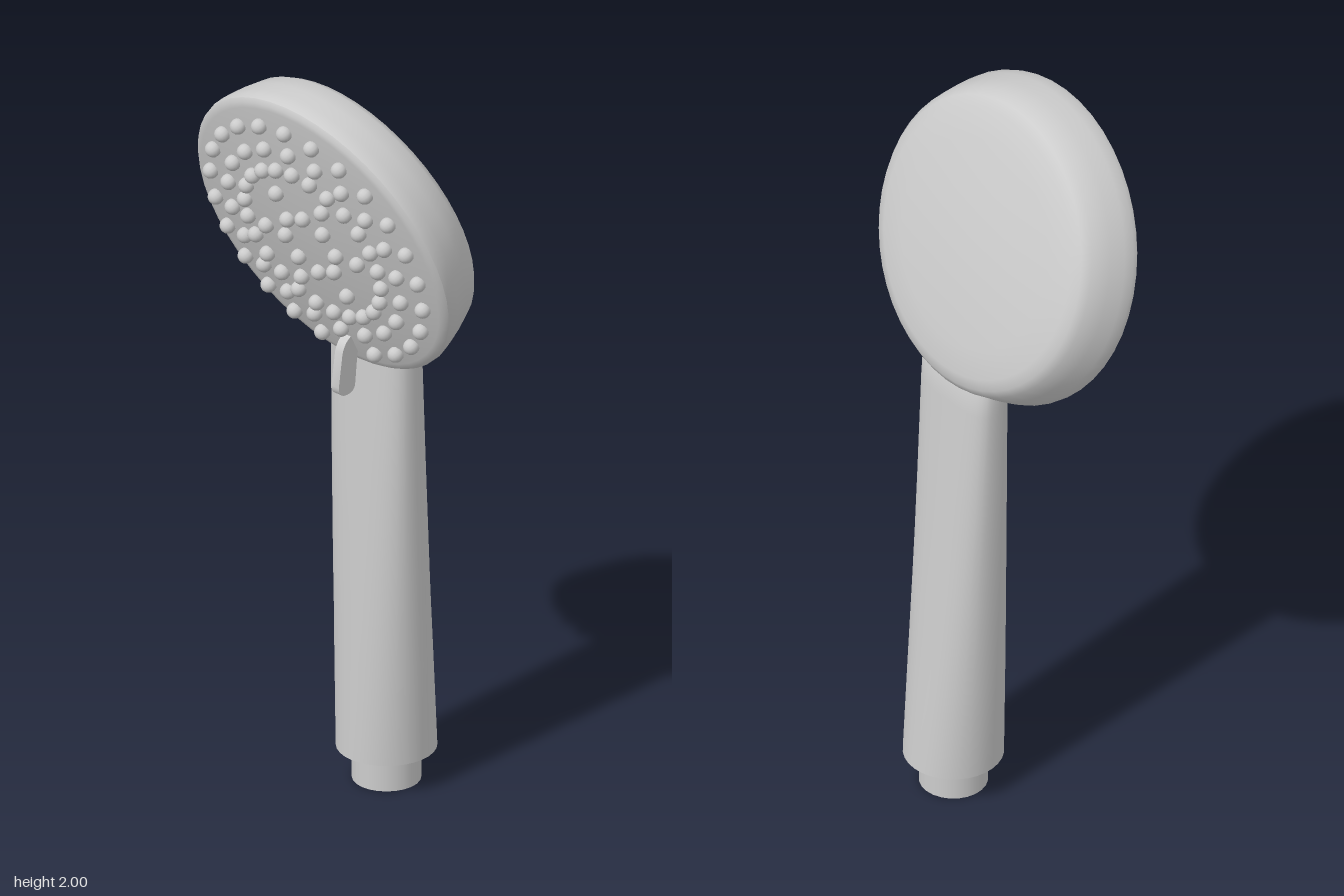
import * as THREE from 'three';
import { toCreasedNormals } from 'three/addons/utils/BufferGeometryUtils.js';

export function createModel() {
  const model = new THREE.Group();
  model.name = 'handShower';
  const grey = new THREE.MeshStandardMaterial({ color: 0xcccccc });
  grey.name = 'satin grey';

  function add(parent, name, geometry) {
    const mesh = new THREE.Mesh(geometry, grey);
    mesh.name = name;
    parent.add(mesh);
    return mesh;
  }

  // Tilted head: local +y points out of the spray face, local -z points up the face
  const head = new THREE.Group();
  head.name = 'head';
  head.position.set(0, 1.583, 0.106);
  head.rotation.x = Math.PI / 2 + 0.333;
  model.add(head);

  // Domed back, rounded side and gently bulging spray face
  const faceRadius = 0.397;
  const faceHeight = (r) => 0.001 + 0.03 * (1 - (r / faceRadius) ** 2);
  const profile = [
    [0, -0.19], [0.15, -0.185], [0.27, -0.176], [0.345, -0.167], [0.374, -0.157],
    [0.391, -0.138], [0.407, -0.09], [0.417, -0.05], [0.422, -0.025],
    [0.42, -0.011], [0.411, -0.002],
    ...[faceRadius, 0.32, 0.24, 0.16, 0.08, 0].map((r) => [r, faceHeight(r)]),
  ].map(([r, y]) => new THREE.Vector2(r, y));
  add(head, 'headShell', toCreasedNormals(new THREE.LatheGeometry(profile, 48), 0.6));

  // Concentric rings of spray nozzles; the lever takes the lowest outer place
  const nozzle = new THREE.SphereGeometry(0.021, 12, 8);
  const rings = [[0.088, 8, 0], [0.16, 6, Math.PI / 6], [0.228, 24, 0], [0.288, 20, 0], [0.355, 24, 0]];
  for (const [radius, count, start] of rings) {
    for (let i = 0; i < count; i++) {
      if (radius > 0.3 && i === 12) continue;
      const a = start + (i / count) * Math.PI * 2;
      add(head, 'nozzle', nozzle)
        .position.set(radius * Math.sin(a), faceHeight(radius) + 0.008, 0.004 - radius * Math.cos(a));
    }
  }

  // Handle: round at the foot, flattening to a boxy oval where it enters the head
  // Each station: height, half width, front z, back z, corner power (1 is an ellipse)
  const stations = [
    [0.09, 0.127, -0.001, -0.255, 1], [0.35, 0.129, -0.007, -0.23, 0.92], [0.6, 0.131, -0.013, -0.206, 0.85],
    [0.9, 0.133, -0.021, -0.18, 0.77], [1.2, 0.135, -0.03, -0.156, 0.68], [1.27, 0.135, -0.032, -0.15, 0.68],
    [1.34, 0.125, -0.025, -0.115, 0.68],
  ];
  const last = stations.length - 1;
  const handle = new THREE.CylinderGeometry(1, 1, 1, 32, last);
  const pos = handle.attributes.position;
  const swell = (v, power) => Math.sign(v) * Math.abs(v) ** power;
  for (let i = 0; i < pos.count; i++) {
    const [y, halfWidth, front, back, power] = stations[Math.round((pos.getY(i) + 0.5) * last)];
    const x = swell(pos.getX(i), power) * halfWidth;
    const z = (front + back) / 2 + swell(pos.getZ(i), power) * (front - back) / 2;
    pos.setXYZ(i, x, y, z);
  }
  add(model, 'handle', toCreasedNormals(handle, 0.6));

  // Hose connector under the handle
  add(model, 'hoseConnector', new THREE.CylinderGeometry(0.087, 0.087, 0.1, 24)).position.set(0, 0.05, -0.128);

  // Thin spray selector lever, drawn in side profile (z, y)
  const side = new THREE.Shape();
  side.moveTo(-0.04, 1.27);
  side.lineTo(-0.012, 1.22);
  side.lineTo(-0.004, 1.14);
  side.quadraticCurveTo(-0.002, 1.117, 0.026, 1.117);
  side.quadraticCurveTo(0.053, 1.117, 0.054, 1.145);
  side.lineTo(0.041, 1.235);
  side.quadraticCurveTo(0.033, 1.268, 0.003, 1.278);
  side.closePath();
  const lever = new THREE.ExtrudeGeometry(side, { depth: 0.026, bevelEnabled: false, curveSegments: 6 });
  lever.translate(0, 0, -0.013);
  lever.rotateY(-Math.PI / 2);
  add(model, 'selectorLever', toCreasedNormals(lever, 0.6));

  return model;
}
